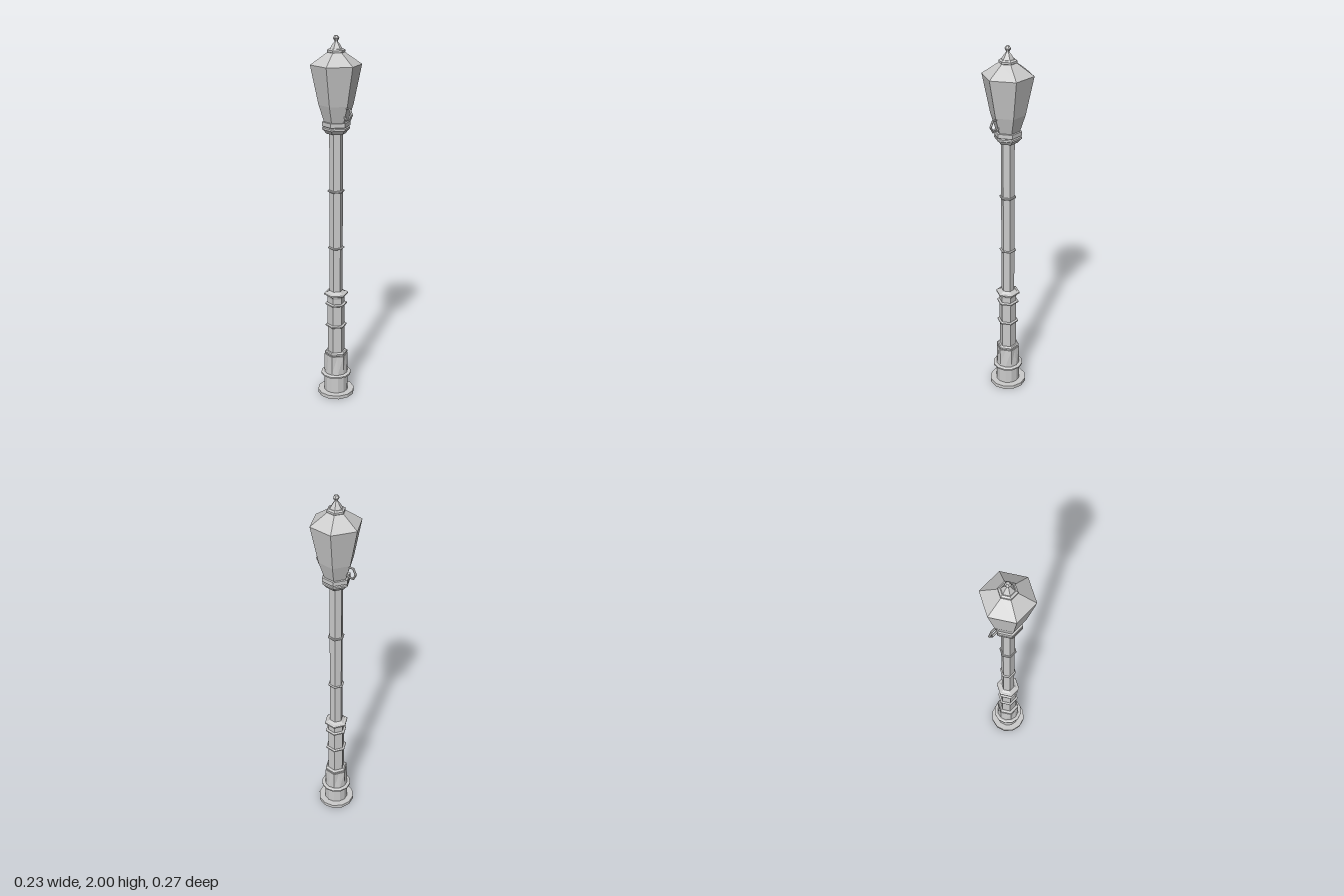
import * as THREE from 'three';

export function createModel() {
  const group = new THREE.Group();
  group.name = 'streetLamp';
  const material = new THREE.MeshStandardMaterial({ color: 0xcccccc, flatShading: true });

  const add = (name, geometry) => {
    const mesh = new THREE.Mesh(geometry, material);
    mesh.name = name;
    group.add(mesh);
    return mesh;
  };
  // Faceted turned part from [radius, height] pairs, bottom to top
  const turned = (name, profile, sides = 6) =>
    add(name, new THREE.LatheGeometry(profile.map(([r, y]) => new THREE.Vector2(r, y)), sides));
  // Moulding with a bevelled edge
  const ring = (name, y, r, h, sides = 6) =>
    turned(name, [[0, y - h / 2], [r * 0.9, y - h / 2], [r, y - h / 4], [r, y + h / 4], [r * 0.9, y + h / 2], [0, y + h / 2]], sides);

  // Round foot
  turned('basePlate', [[0, 0], [0.102, 0], [0.102, 0.02], [0, 0.02]], 12);
  turned('baseDrum', [[0.067, 0.02], [0.067, 0.12]], 12);
  ring('baseRing', 0.122, 0.084, 0.016, 12);

  // Plinth blending from the round drum to the six-sided post
  const plinth = new THREE.CylinderGeometry(0.065, 0.065, 0.11, 12);
  const p = plinth.attributes.position;
  for (let i = 0; i < p.count; i++) {
    const side = Math.round(Math.atan2(p.getX(i), p.getZ(i)) / (Math.PI / 6));
    if (p.getY(i) > 0 && Math.abs(side) % 2 === 1) {
      const k = Math.cos(Math.PI / 6);
      p.setX(i, p.getX(i) * k);
      p.setZ(i, p.getZ(i) * k);
    }
  }
  add('plinth', plinth).position.y = 0.185;
  ring('plinthRing', 0.25, 0.064, 0.018);

  // Post in two thicknesses, with mouldings
  turned('lowerPost', [[0.047, 0.24], [0.047, 0.6]]);
  turned('upperPost', [[0.036, 0.6], [0.036, 1.51]]);
  for (const [y, r, h] of [[0.417, 0.059, 0.014], [0.545, 0.06, 0.014], [0.604, 0.066, 0.016],
    [0.872, 0.045, 0.01], [1.19, 0.045, 0.012]]) ring('postRing', y, r, h);
  turned('postShoulder', [[0.047, 0.58], [0.052, 0.6], [0.052, 0.612], [0.036, 0.622]]);

  // Capital under the lantern
  turned('capital', [[0, 1.5], [0.052, 1.5], [0.066, 1.518], [0.073, 1.522], [0.073, 1.532],
    [0.066, 1.536], [0.074, 1.54], [0.074, 1.562], [0, 1.565]]);

  // Lantern body, roof and finial
  turned('lanternBody', [[0, 1.56], [0.062, 1.56], [0.091, 1.65], [0.133, 1.853]]);
  turned('lanternRoof', [[0.133, 1.853], [0.046, 1.914], [0, 1.914]]);
  turned('roofCollar', [[0, 1.91], [0.04, 1.91], [0.047, 1.916], [0.047, 1.926], [0.037, 1.932], [0, 1.932]]);
  turned('finial', [[0.034, 1.93], [0.018, 1.955], [0.009, 1.967], [0.009, 1.972],
    [0.017, 1.985], [0.009, 1.997], [0, 2]]);

  // Six-sided ring handles, front and back
  for (const s of [1, -1]) {
    const handle = add(s > 0 ? 'frontHandle' : 'backHandle', new THREE.TorusGeometry(0.033, 0.006, 6, 6));
    handle.rotation.y = Math.PI / 2;
    handle.position.set(0, 1.613, s * 0.094);
  }
  return group;
}
